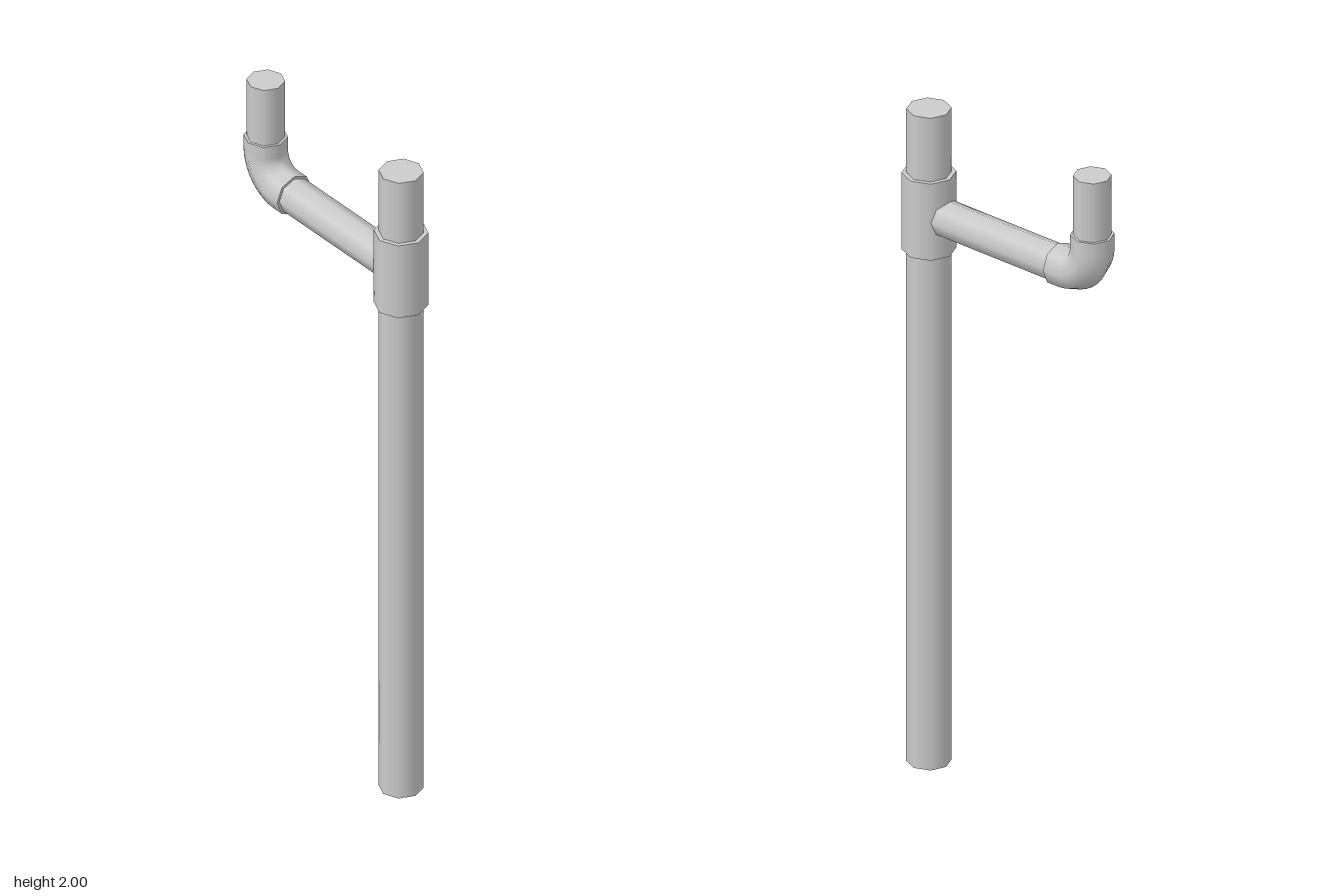
import * as THREE from 'three';

const SIDES = 8;
const material = new THREE.MeshStandardMaterial({ color: 0xcccccc });

export function createModel() {
  const model = new THREE.Group();
  model.name = 'pipeAssembly';

  // Capped octagonal pipe between two points
  const pipe = (name, radius, from, to) => {
    const a = new THREE.Vector3(...from), b = new THREE.Vector3(...to);
    const mesh = new THREE.Mesh(
      new THREE.CylinderGeometry(radius, radius, a.distanceTo(b), SIDES), material);
    mesh.name = name;
    mesh.position.copy(a).add(b).multiplyScalar(0.5);
    mesh.quaternion.setFromUnitVectors(new THREE.Vector3(0, 1, 0), b.sub(a).normalize());
    model.add(mesh);
  };

  const postX = 0.287, armX = -0.302, armY = 1.684; // pipe centre lines
  const elbowR = 0.061, bend = 0.088;

  // Main post and its tee collar
  pipe('post', 0.062, [postX, 0, 0], [postX, 2, 0]);
  pipe('teeCollar', 0.075, [postX, 1.57, 0], [postX, 1.805, 0]);

  // Side arm and upright stub
  pipe('sideArm', 0.053, [-0.2, armY, 0], [postX, armY, 0]);
  pipe('stub', 0.053, [armX, 1.79, 0], [armX, 1.995, 0]);

  // Elbow: two straight sockets joined by a quarter bend
  pipe('elbowArmSocket', elbowR, [armX + bend, armY, 0], [-0.177, armY, 0]);
  pipe('elbowStubSocket', elbowR, [armX, armY + bend, 0], [armX, 1.815, 0]);
  const elbow = new THREE.Mesh(
    new THREE.TorusGeometry(bend, elbowR, SIDES, 10, Math.PI / 2), material);
  elbow.name = 'elbowBend';
  elbow.rotation.z = Math.PI;
  elbow.position.set(armX + bend, armY + bend, 0);
  model.add(elbow);

  return model;
}
